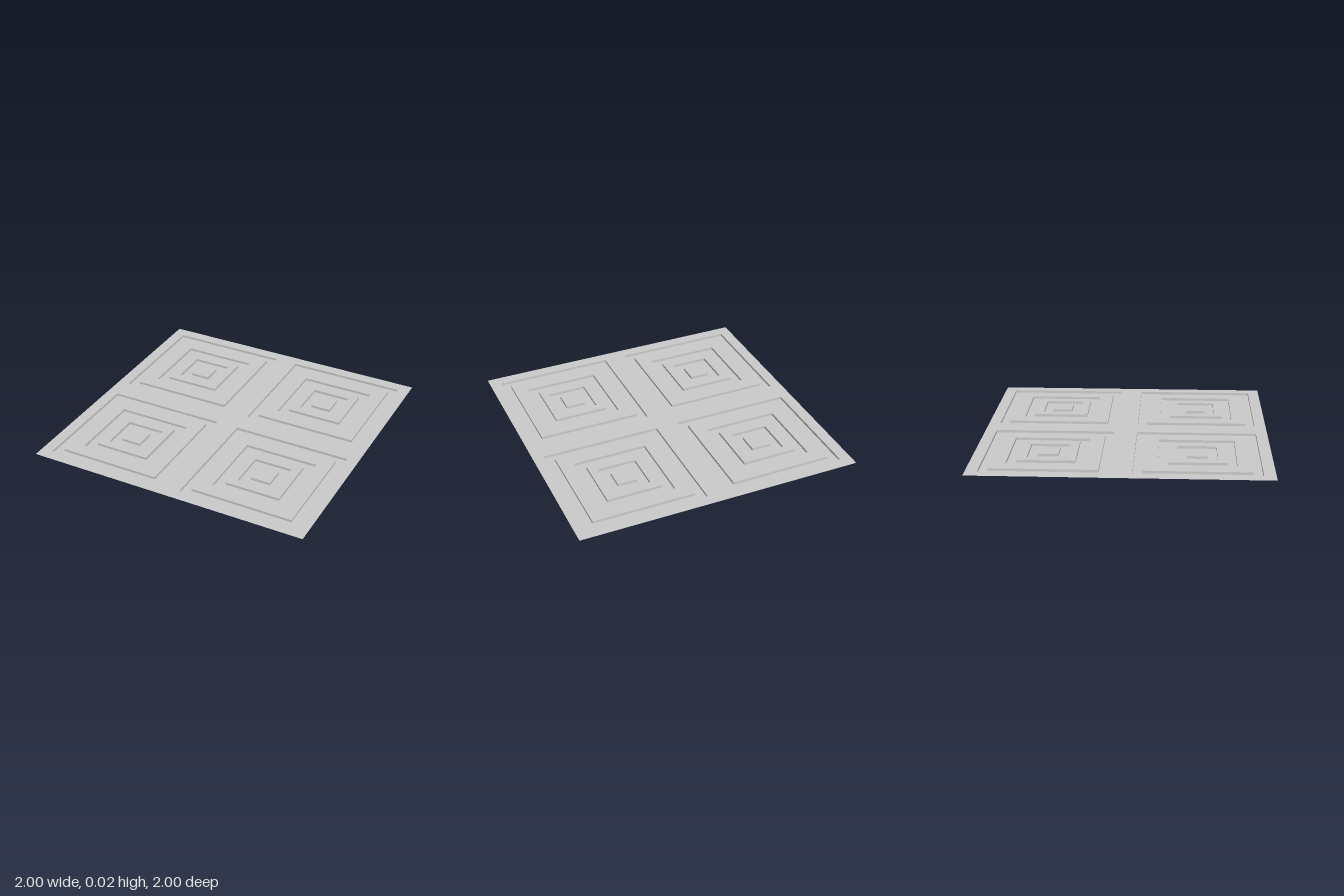
import * as THREE from 'three';

const H = 0.018; // groove depth
const STEPS = [0.42, 0.36, 0.26, 0.195, 0.135, 0.07]; // half sizes of the nested squares
const CENTRES = [[-0.5, -0.5], [0.5, -0.5], [-0.5, 0.5], [0.5, 0.5]];

const material = new THREE.MeshStandardMaterial({
  color: 0xcccccc, flatShading: true, side: THREE.DoubleSide,
});

function square(Kind, half, cx = 0, cy = 0) {
  return new Kind([[-1, -1], [1, -1], [1, 1], [-1, 1]]
    .map(([x, y]) => new THREE.Vector2(cx + x * half, cy + y * half)));
}

// Thin horizontal sheet, facing up
function sheet(name, shape, y) {
  const mesh = new THREE.Mesh(new THREE.ShapeGeometry(shape).rotateX(-Math.PI / 2), material);
  mesh.name = name;
  mesh.position.y = y;
  return mesh;
}

// Open square band joining the two levels
function wall(half) {
  const r = half * Math.SQRT2;
  const geometry = new THREE.CylinderGeometry(r, r, H, 4, 1, true).rotateY(Math.PI / 4);
  const mesh = new THREE.Mesh(geometry, material);
  mesh.name = 'grooveWall';
  mesh.position.y = H / 2;
  return mesh;
}

// Concentric square grooves around a flat centre
function createCoffer() {
  const coffer = new THREE.Group();
  coffer.name = 'coffer';
  STEPS.forEach((half, i) => {
    const shape = square(THREE.Shape, half);
    if (i + 1 < STEPS.length) shape.holes.push(square(THREE.Path, STEPS[i + 1]));
    const sunken = i % 2 === 0;
    coffer.add(sheet(sunken ? 'grooveFloor' : 'raisedBand', shape, sunken ? 0 : H));
    coffer.add(wall(half));
  });
  return coffer;
}

export function createModel() {
  const model = new THREE.Group();
  model.name = 'ceilingPanel';

  // Surrounding frame sheet with four openings
  const frame = square(THREE.Shape, 1);
  CENTRES.forEach(([x, z]) => frame.holes.push(square(THREE.Path, STEPS[0], x, z)));
  model.add(sheet('frame', frame, H));

  CENTRES.forEach(([x, z]) => {
    const coffer = createCoffer();
    coffer.position.set(x, 0, z);
    model.add(coffer);
  });
  return model;
}
